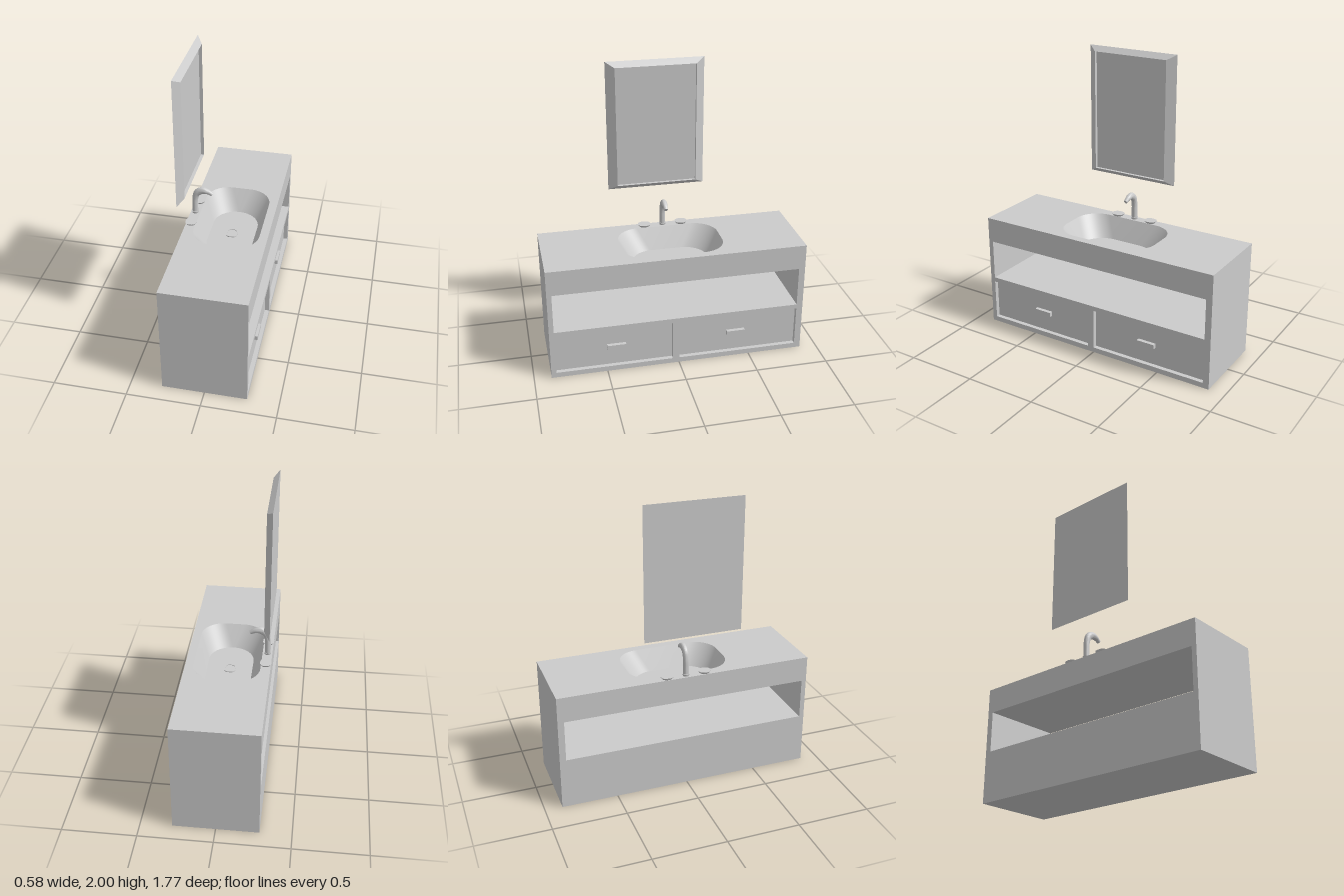
import * as THREE from 'three';
import { toCreasedNormals } from 'three/addons/utils/BufferGeometryUtils.js';

const material = new THREE.MeshStandardMaterial({ color: 0xcccccc });

function add(parent, name, geometry, x = 0, y = 0, z = 0) {
  const mesh = new THREE.Mesh(geometry, material);
  mesh.name = name;
  mesh.position.set(x, y, z);
  parent.add(mesh);
  return mesh;
}

// Rounded rectangle outline, counter-clockwise, as [u, v] points
function roundedRect(w, d, r, n = 10) {
  const pts = [];
  [[1, 1], [-1, 1], [-1, -1], [1, -1]].forEach(([sx, sy], k) => {
    for (let i = 0; i <= n; i++) {
      const a = (k + (n ? i / n : 0)) * Math.PI / 2;
      pts.push([sx * (w / 2 - r) + r * Math.cos(a), sy * (d / 2 - r) + r * Math.sin(a)]);
    }
  });
  return pts;
}

// Horizontal ring at height y, for lofting
const ring = (outline, y, x = 0) => outline.map(([u, v]) => new THREE.Vector3(x + u, y, -v));

// Skin a series of rings and close the chosen ends
function loft(rings, capStart = true, capEnd = true) {
  const n = rings[0].length, pos = [], index = [];
  const push = (p) => pos.push(p.x, p.y, p.z);
  rings.forEach((r) => r.forEach(push));
  for (let i = 0; i < rings.length - 1; i++) {
    for (let j = 0; j < n; j++) {
      const a = i * n + j, b = i * n + (j + 1) % n;
      index.push(a, b, b + n, a, b + n, a + n);
    }
  }
  const cap = (i, flip) => {
    const c = pos.length / 3;
    push(rings[i].reduce((s, p) => s.add(p), new THREE.Vector3()).divideScalar(n));
    for (let j = 0; j < n; j++) {
      const a = i * n + j, b = i * n + (j + 1) % n;
      index.push(...(flip ? [b, a, c] : [a, b, c]));
    }
  };
  if (capStart) cap(0, true);
  if (capEnd) cap(rings.length - 1, false);
  const g = new THREE.BufferGeometry();
  g.setAttribute('position', new THREE.Float32BufferAttribute(pos, 3));
  g.setIndex(index);
  return toCreasedNormals(g, 0.6);
}

const vectors = (pts) => pts.map(([u, v]) => new THREE.Vector2(u, v));

// Front-facing shape in (-z, y), extruded along x from x0 to x1
function extrudeX(outline, holes, x0, x1) {
  const shape = new THREE.Shape(vectors(outline));
  holes.forEach(([u0, u1, v0, v1]) =>
    shape.holes.push(new THREE.Path(vectors([[u0, v0], [u0, v1], [u1, v1], [u1, v0]]))));
  const g = new THREE.ExtrudeGeometry(shape, { depth: x1 - x0, bevelEnabled: false });
  return g.rotateY(Math.PI / 2).translate(x0, 0, 0);
}

export function createModel() {
  const model = new THREE.Group();
  model.name = 'washstand';
  const X = 0.287, Z = 0.883, top = 0.81, face = 0.257;

  // Cabinet: solid body with an open shelf, and a front frame around the drawers
  const carcass = [[-Z, 0], [Z, 0], [Z, 0.635], [0.84, 0.635], [0.84, 0.353],
    [-0.85, 0.353], [-0.85, 0.635], [-Z, 0.635]];
  const drawers = [[-0.85, -0.043], [0.003, 0.84]];
  add(model, 'cabinetBody', extrudeX(carcass, [], -X, face));
  add(model, 'drawerFrame', extrudeX(carcass, drawers.map(([a, b]) => [a, b, 0.036, 0.32]), face, X));
  [0.431, -0.407].forEach((z) =>
    add(model, 'drawerHandle', new THREE.BoxGeometry(0.026, 0.032, 0.128), face + 0.013, 0.18, z));

  // Countertop with the basin opening, closed from below
  const rim = roundedRect(0.45, 0.7, 0.16, 14);
  const floor = roundedRect(0.315, 0.525, 0.155, 14);
  const slab = new THREE.Shape(vectors([[-X, -Z], [X, -Z], [X, Z], [-X, Z]]));
  slab.holes.push(new THREE.Path(vectors(rim.map(([u, v]) => [u + 0.005, v]))));
  const slabGeometry = new THREE.ExtrudeGeometry(slab, { depth: 0.15, bevelEnabled: false });
  add(model, 'countertop', slabGeometry.rotateX(-Math.PI / 2), 0, 0.66, 0);
  add(model, 'countertopUnderside', new THREE.BoxGeometry(2 * X, 0.025, 2 * Z), 0, 0.6475, 0);

  // Basin and drain
  add(model, 'basin', loft([ring(rim, top, 0.005), ring(floor, 0.663, 0.007)], false, true));
  const drainOuter = roundedRect(0.078, 0.092, 0.028, 6);
  const drainInner = roundedRect(0.062, 0.074, 0.024, 6);
  add(model, 'drain', loft([ring(drainOuter, 0), ring(drainOuter, 0.007), ring(drainInner, 0.007),
    ring(drainInner, 0.003)]), 0.004, 0.662, 0);

  // Tap: tapering spout swept along a bent path
  const tap = new THREE.Group();
  tap.name = 'tap';
  model.add(tap);
  const path = new THREE.CatmullRomCurve3([[-0.255, 0.81], [-0.255, 0.87], [-0.253, 0.93], [-0.238, 0.974],
    [-0.202, 0.995], [-0.166, 0.99], [-0.134, 0.972]].map(([x, y]) => new THREE.Vector3(x, y, 0)));
  const steps = 28, sides = 20, spout = [];
  for (let i = 0; i <= steps; i++) {
    const t = i / steps, p = path.getPointAt(t), d = path.getTangentAt(t);
    const r = 0.02 + 0.006 * Math.exp(-(((t - 0.68) / 0.16) ** 2)) - 0.007 * Math.max(0, (t - 0.75) / 0.25);
    const width = Math.min(r, 0.02);
    spout.push(Array.from({ length: sides }, (_, j) => {
      const a = j / sides * Math.PI * 2, c = r * Math.cos(a);
      return new THREE.Vector3(p.x + c * d.y, p.y - c * d.x, -width * Math.sin(a));
    }));
  }
  add(tap, 'spout', loft(spout));
  add(tap, 'spoutBase', new THREE.CylinderGeometry(0.024, 0.021, 0.014, 24), -0.255, top + 0.007, 0);

  // Flared tap knobs on either side of the spout
  [0.132, -0.132].forEach((z) => add(tap, 'tapKnob', loft([
    ring(roundedRect(0.06, 0.066, 0.028, 8), 0),
    ring(roundedRect(0.074, 0.084, 0.033, 8), 0.011),
    ring(roundedRect(0.076, 0.086, 0.034, 8), 0.015)]), -0.252, top, z));

  // Wall mirror: bevelled frame with a recessed panel
  const outer = roundedRect(0.9, 0.67, 0, 0), inner = roundedRect(0.83, 0.55, 0, 0);
  const mirror = loft([ring(outer, 0), ring(inner, 0.04), ring(inner, 0.018)]);
  add(model, 'mirror', mirror.rotateZ(-Math.PI / 2), -0.283, 1.55, 0.04);

  return model;
}
